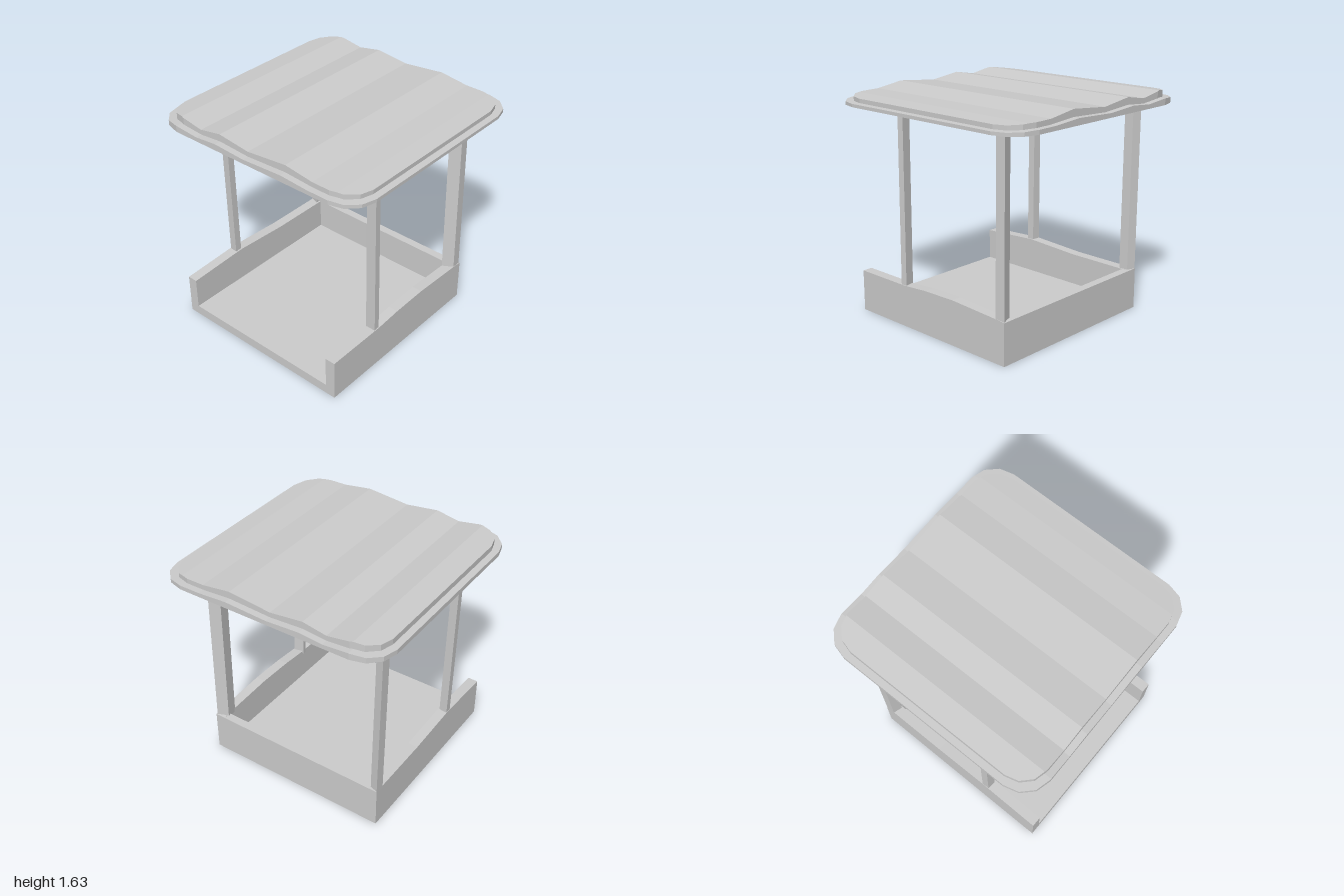
import * as THREE from 'three';

const material = new THREE.MeshStandardMaterial({ color: 0xcccccc, flatShading: true });

function add(parent, name, geometry) {
  const mesh = new THREE.Mesh(geometry, material);
  mesh.name = name;
  parent.add(mesh);
  return mesh;
}

// Box given by its lower and upper corners
function block(a, b) {
  return new THREE.BoxGeometry(b[0] - a[0], b[1] - a[1], b[2] - a[2])
    .translate((a[0] + b[0]) / 2, (a[1] + b[1]) / 2, (a[2] + b[2]) / 2);
}

// Side wall: outline in (z, y) extruded from outerX towards -x
function sideWall(outerX, thickness, top) {
  const shape = new THREE.Shape([[-0.59, 0], [0.806, 0], ...top].map(p => new THREE.Vector2(...p)));
  return new THREE.ExtrudeGeometry(shape, { depth: thickness, bevelEnabled: false })
    .rotateY(-Math.PI / 2).translate(outerX, 0, 0);
}

// Four-sided post from its (x, z) footprint, leaning slightly towards -x
function post(footprint, bottom, top) {
  const shape = new THREE.Shape(footprint.map(([x, z]) => new THREE.Vector2(x, -z)));
  const geometry = new THREE.ExtrudeGeometry(shape, { depth: top - bottom, bevelEnabled: false })
    .rotateX(-Math.PI / 2).translate(0, bottom, 0);
  const pos = geometry.attributes.position;
  for (let i = 0; i < pos.count; i++) pos.setX(i, pos.getX(i) - 0.015 * (pos.getY(i) - bottom) / 1.2);
  return geometry;
}

// Ridges and valleys of the roof as (x, height)
const WAVE = [[-0.84, 0.004], [-0.63, 0.03], [-0.45, 0], [-0.28, 0.03], [-0.04, 0],
  [0.27, 0.03], [0.48, 0], [0.66, -0.002], [0.84, -0.015]];

function wave(x) {
  let i = 1;
  while (i < WAVE.length - 1 && x > WAVE[i][0]) i++;
  const [a, b] = [WAVE[i - 1], WAVE[i]];
  return THREE.MathUtils.mapLinear(x, a[0], b[0], a[1], b[1]);
}

// Rounded square slab with a corrugated top, built from sections across x
function roofSlab(half, radius, bottom, topY, amount) {
  const inner = half - radius;
  const xs = WAVE.map(p => p[0]).filter(x => Math.abs(x) < half - 0.01);
  for (const deg of [0, 30, 60, 90]) {
    const x = inner + radius * Math.cos(deg * Math.PI / 180);
    xs.push(x, -x);
  }
  xs.sort((a, b) => a - b);
  // Straight chords between the three facets of each corner
  const width = x => {
    const d = Math.max(0, Math.abs(x) - inner) / radius;
    for (let k = 0; k < 3; k++) {
      const a0 = k * Math.PI / 6, a1 = a0 + Math.PI / 6;
      if (d <= Math.sin(a1) + 1e-6) {
        const t = (d - Math.sin(a0)) / (Math.sin(a1) - Math.sin(a0));
        return inner + radius * THREE.MathUtils.lerp(Math.cos(a0), Math.cos(a1), t);
      }
    }
    return inner;
  };
  const vertices = [], index = [];
  for (const x of xs) {
    const w = width(x), y = topY + amount * wave(x);
    vertices.push(x, bottom, -w, x, bottom, w, x, y, w, x, y, -w);
  }
  for (let i = 0; i < xs.length - 1; i++) {
    for (let j = 0; j < 4; j++) {
      const a = i * 4 + j, b = i * 4 + (j + 1) % 4;
      index.push(a, a + 4, b, b, a + 4, b + 4);
    }
  }
  const e = (xs.length - 1) * 4;
  index.push(0, 1, 2, 0, 2, 3, e, e + 2, e + 1, e, e + 3, e + 2);
  const geometry = new THREE.BufferGeometry();
  geometry.setAttribute('position', new THREE.Float32BufferAttribute(vertices, 3));
  geometry.setIndex(index);
  const flat = geometry.toNonIndexed();
  flat.computeVertexNormals();
  return flat;
}

export function createModel() {
  const model = new THREE.Group();
  model.name = 'shelter';

  // Tray-like base, open at the front
  const base = new THREE.Group();
  base.name = 'base';
  base.rotation.y = -19 * Math.PI / 180;
  add(base, 'floor', block([-0.632, 0, -0.53], [0.593, 0.07, 0.806]));
  add(base, 'backWall', block([-0.632, 0, -0.59], [0.593, 0.3, -0.53]));
  add(base, 'leftWall', sideWall(0.667, 0.074,
    [[0.806, 0.3], [0.35, 0.302], [0.15, 0.318], [-0.12, 0.325], [-0.53, 0.306], [-0.59, 0.3]]));
  add(base, 'rightWall', sideWall(-0.632, 0.074,
    [[0.806, 0.3], [0.35, 0.325], [-0.07, 0.302], [-0.59, 0.3]]));
  model.add(base);

  // Four slightly irregular posts
  const posts = {
    frontRightPost: [[[-0.79, 0.14], [-0.735, 0.165], [-0.72, 0.115], [-0.775, 0.09]], 1.535],
    frontLeftPost: [[[0.43, 0.56], [0.5, 0.585], [0.512, 0.54], [0.437, 0.532]], 1.51],
    backRightPost: [[[-0.5, -0.72], [-0.445, -0.68], [-0.425, -0.745], [-0.475, -0.785]], 1.51],
    backLeftPost: [[[0.715, -0.25], [0.797, -0.27], [0.815, -0.338], [0.73, -0.335]], 1.51],
  };
  for (const [name, [footprint, top]] of Object.entries(posts)) add(model, name, post(footprint, 0.28, top));

  // Two-layer corrugated roof
  const roof = new THREE.Group();
  roof.name = 'roof';
  roof.rotation.y = -18.7 * Math.PI / 180;
  add(roof, 'roofRim', roofSlab(0.835, 0.2, 1.535, 1.565, 0.5));
  add(roof, 'roofTop', roofSlab(0.79, 0.18, 1.545, 1.6, 1));
  model.add(roof);

  return model;
}
